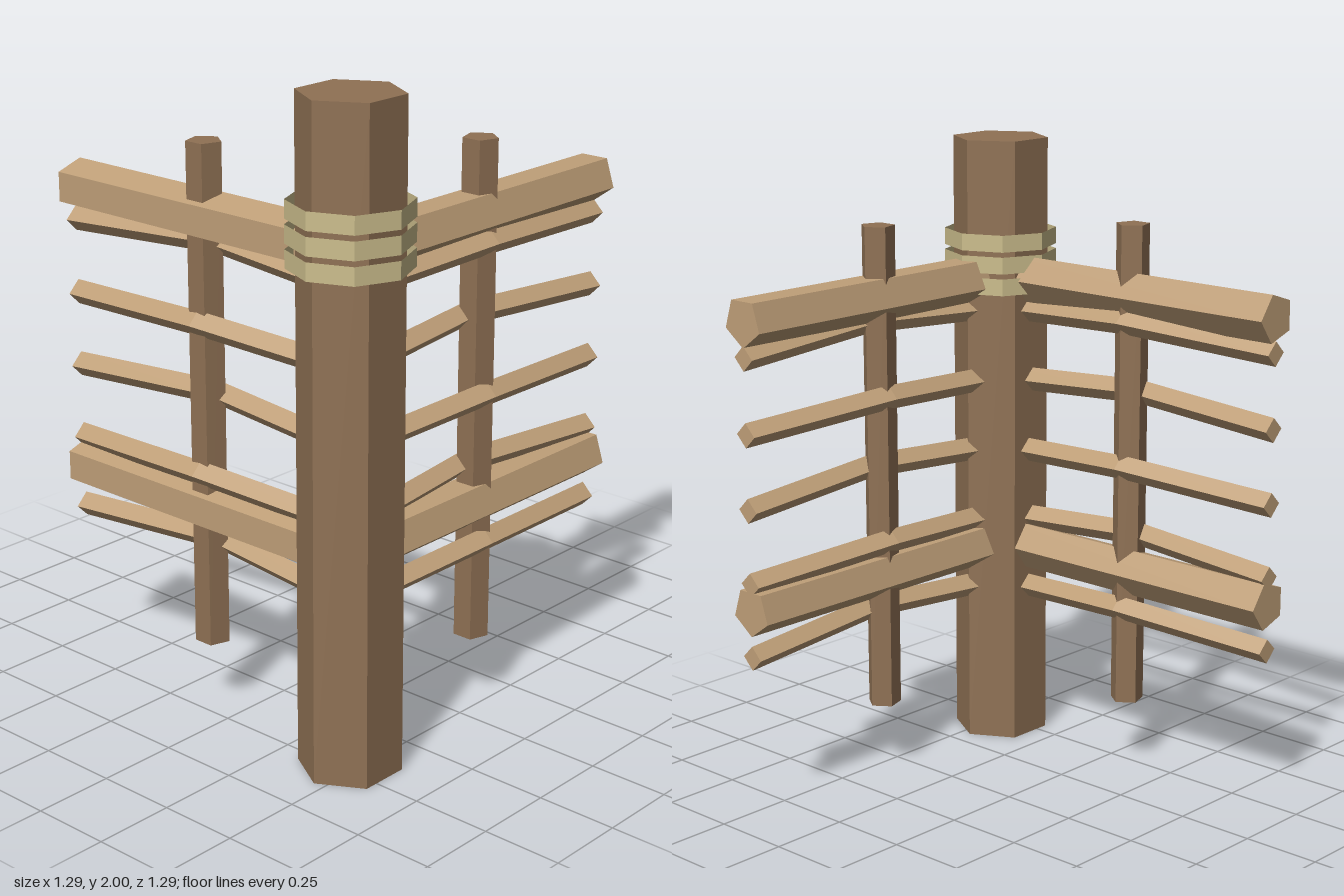
import * as THREE from 'three';

const bark = new THREE.MeshStandardMaterial({ color: 0x8f7154, flatShading: true });
bark.name = 'dark bark';
const wood = new THREE.MeshStandardMaterial({ color: 0xbf9f78, flatShading: true });
wood.name = 'pale wood';
const twine = new THREE.MeshStandardMaterial({ color: 0xcbbd8c, flatShading: true, side: THREE.DoubleSide });
twine.name = 'straw rope';

const C = 0.465;        // x and z of the corner post
const START = -0.645;   // free end of both fence sides
const MID = (START + C) / 2;
const LEN = C - START;

function add(parent, name, geometry, material, x, y, z) {
  const mesh = new THREE.Mesh(geometry, material);
  mesh.name = name;
  mesh.position.set(x, y, z);
  parent.add(mesh);
  return mesh;
}

// Thin diamond-section rail along x, kinked in the middle by (dy, dz)
function railGeometry(dy, dz) {
  const r = 0.0385;
  const sections = [[-LEN / 2, 0, 0], [0, dy, dz], [LEN / 2, 0, 0]];
  const pos = [];
  for (const [x, y, z] of sections) {
    for (let k = 0; k < 4; k++) {
      const a = (k * Math.PI) / 2;
      pos.push(x, y + r * Math.cos(a), z + r * Math.sin(a));
    }
  }
  const index = [];
  for (let s = 0; s < 2; s++) {
    for (let k = 0; k < 4; k++) {
      const a = s * 4 + k, b = s * 4 + (k + 1) % 4;
      index.push(a, b, b + 4, a, b + 4, a + 4);
    }
  }
  index.push(0, 2, 1, 0, 3, 2, 8, 9, 10, 8, 10, 11); // end caps
  // reverse the winding if the first side face points inward
  const g = new THREE.BufferGeometry();
  g.setAttribute('position', new THREE.Float32BufferAttribute(pos, 3));
  const p = [0, 1, 2].map((i) => new THREE.Vector3().fromArray(pos, index[i] * 3));
  const n = p[1].clone().sub(p[0]).cross(p[2].clone().sub(p[0]));
  if (n.y + n.z < 0) {
    for (let i = 0; i < 24 * 2; i += 3) [index[i + 1], index[i + 2]] = [index[i + 2], index[i + 1]];
  }
  g.setIndex(index);
  const flat = g.toNonIndexed();
  flat.computeVertexNormals();
  return flat;
}

export function createModel() {
  const model = new THREE.Group();
  model.name = 'cornerFence';

  // Hexagonal corner post
  add(model, 'cornerPost', new THREE.CylinderGeometry(0.155, 0.155, 2, 6), bark, C, 1, C);

  // Rope bands wrapped around the post
  for (const y of [1.54, 1.61, 1.68]) {
    add(model, 'ropeBand', new THREE.CylinderGeometry(0.18, 0.18, 0.054, 8, 1, true), twine, C, y, C);
  }

  // Slim upright of each side
  const upright = new THREE.CylinderGeometry(0.0543, 0.0543, 1.55, 5).rotateY(Math.PI);
  add(model, 'frontUpright', upright, bark, MID, 1.003, C);
  add(model, 'sideUpright', upright, bark, C, 1.003, MID);

  // Two heavy beams on each side
  const beam = () => new THREE.CylinderGeometry(0.0775, 0.0775, LEN, 5);
  const frontBeam = beam().rotateY(Math.PI).rotateZ(Math.PI / 2);
  const sideBeam = beam().rotateX(Math.PI / 2);
  for (const y of [0.665, 1.556]) {
    add(model, 'frontBeam', frontBeam, wood, MID, y, C);
    add(model, 'sideBeam', sideBeam, wood, C, y, MID);
  }

  // Five thin rails on each side, woven alternately around the upright
  for (let i = 0; i < 5; i++) {
    const y = 0.518 + i * 0.2325;
    const rail = railGeometry(0.027, i % 2 ? 0.0387 : -0.0387);
    add(model, 'frontRail', rail, wood, MID, y, C);
    add(model, 'sideRail', rail, wood, C, y, MID).rotation.y = -Math.PI / 2;
  }
  return model;
}
